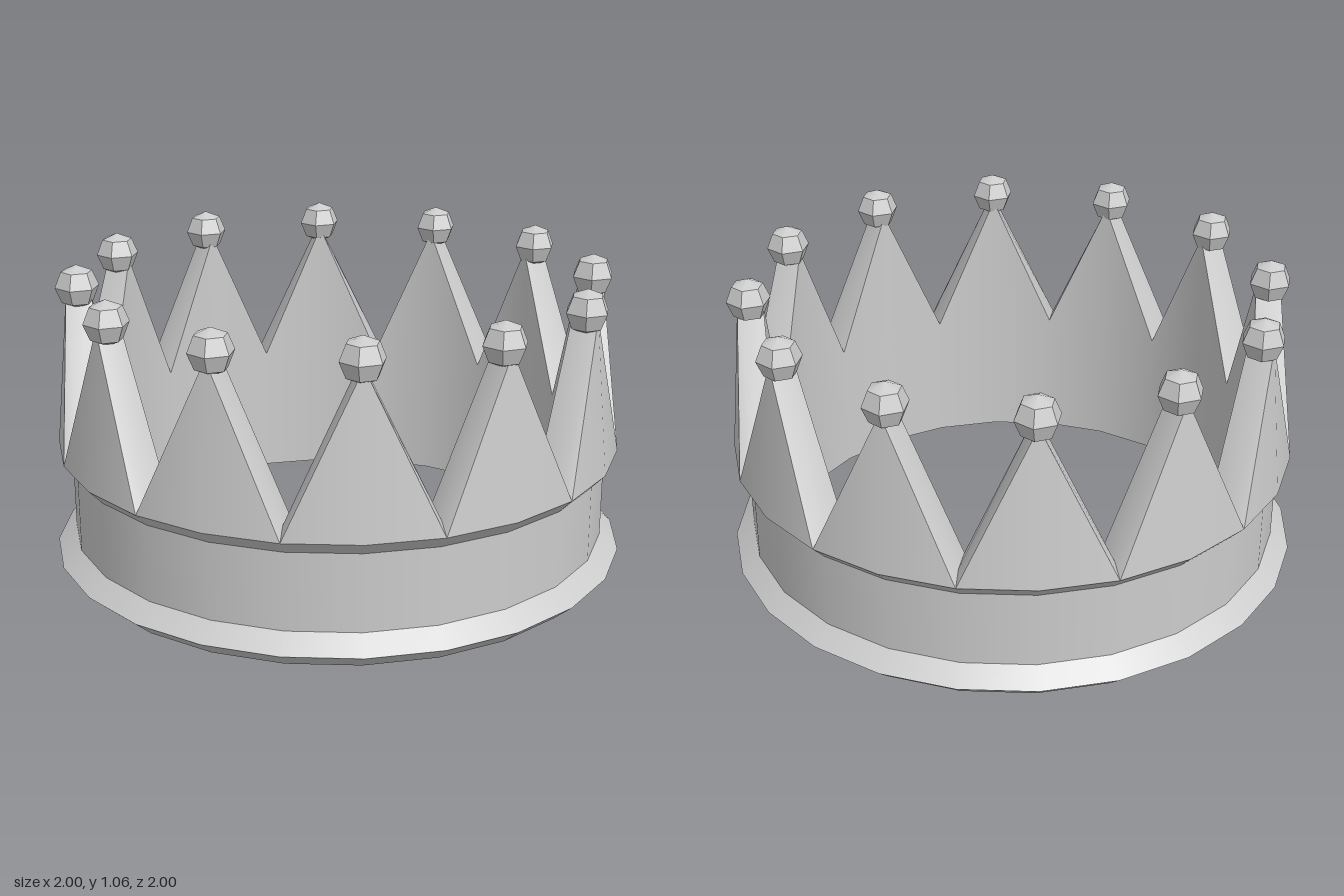
import * as THREE from 'three';
import { toCreasedNormals } from 'three/addons/utils/BufferGeometryUtils.js';

const SIDES = 24;
const CREASE = 0.52;

// Sweeps a profile of [radius, height] points around y; profileAt(i) gives the profile of column i.
function ring(profileAt) {
  const positions = [];
  const index = [];
  const rows = profileAt(0).length;
  for (let i = 0; i < SIDES; i++) {
    const a = (i / SIDES) * Math.PI * 2;
    for (const [r, y] of profileAt(i)) positions.push(r * Math.sin(a), y, r * Math.cos(a));
  }
  for (let i = 0; i < SIDES; i++) {
    const next = (i + 1) % SIDES;
    for (let j = 0; j < rows - 1; j++) {
      const a = i * rows + j, b = next * rows + j, c = b + 1, d = a + 1;
      // Diagonals run from the foot of each valley to the neighbouring tip
      if (i % 2 === 0) index.push(a, b, c, a, c, d);
      else index.push(a, b, d, b, c, d);
    }
  }
  const geometry = new THREE.BufferGeometry();
  geometry.setAttribute('position', new THREE.Float32BufferAttribute(positions, 3));
  geometry.setIndex(index);
  return toCreasedNormals(geometry, CREASE);
}

export function createModel() {
  const model = new THREE.Group();
  model.name = 'crown';
  const metal = new THREE.MeshStandardMaterial({ color: 0xcccccc });
  metal.name = 'pale grey';

  const add = (name, geometry) => {
    const mesh = new THREE.Mesh(geometry, metal);
    mesh.name = name;
    model.add(mesh);
    return mesh;
  };

  // Head band with a flared foot and a flared upper rim
  const bandProfile = [
    [0.842, 0.43], [0.842, 0], [0.935, 0], [1.0, 0.057],
    [0.935, 0.113], [0.935, 0.38], [0.98, 0.428],
  ];
  add('band', ring(() => bandProfile));

  // Twelve pointed spikes: even columns are valleys, odd columns are tips
  add('spikes', ring((i) => {
    const tip = i % 2 === 1;
    const y = tip ? 0.97 : 0.47;
    return [[0.98, 0.428], [tip ? 0.928 : 0.935, y], [0.842, y], [0.842, 0.43]];
  }));

  // Faceted ball on every tip
  const ball = toCreasedNormals(new THREE.SphereGeometry(0.076, 6, 4), CREASE);
  for (let i = 1; i < SIDES; i += 2) {
    const a = (i / SIDES) * Math.PI * 2;
    add('tipBall', ball).position.set(0.89 * Math.sin(a), 0.985, 0.89 * Math.cos(a));
  }

  return model;
}
